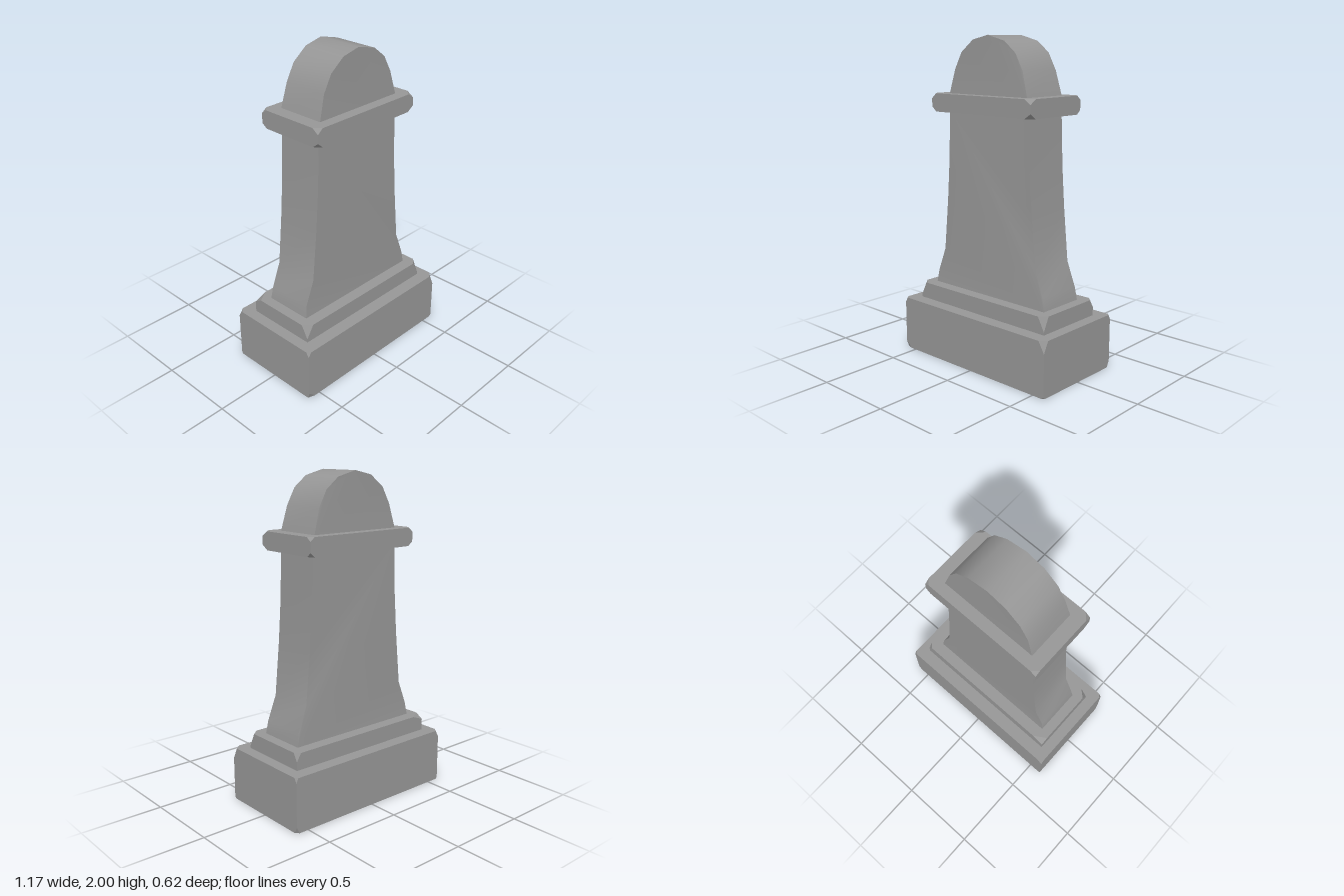
import * as THREE from 'three';
import { toCreasedNormals } from 'three/addons/utils/BufferGeometryUtils.js';
import { ConvexGeometry } from 'three/addons/geometries/ConvexGeometry.js';

// Corner order for cuts: front right, front left, back left, back right (+x is right here)
const SIGNS = [[1, 1], [-1, 1], [-1, -1], [1, -1]];

// Stone block with unevenly chipped corners; each cut is [x, y, z]
function chippedBlock(hx, hz, y0, y1, topCuts, bottomCuts) {
  const points = [];
  SIGNS.forEach(([sx, sz], i) => {
    [[y1, -1, topCuts[i]], [y0, 1, bottomCuts[i]]].forEach(([y, sy, [cx, cy, cz]]) => {
      points.push(
        new THREE.Vector3(sx * (hx - cx), y, sz * hz),
        new THREE.Vector3(sx * hx, y + sy * cy, sz * hz),
        new THREE.Vector3(sx * hx, y, sz * (hz - cz)),
      );
    });
  });
  return new ConvexGeometry(points);
}

// Slab cut from an outline, with its half depth given by height
function slab(outline, halfDepth) {
  const shape = new THREE.Shape(outline.map(([x, y]) => new THREE.Vector2(x, y)));
  const geometry = new THREE.ExtrudeGeometry(shape, { depth: 1, bevelEnabled: false });
  const p = geometry.attributes.position;
  for (let i = 0; i < p.count; i++) {
    p.setZ(i, (p.getZ(i) > 0.5 ? 1 : -1) * halfDepth(p.getY(i)));
  }
  return toCreasedNormals(geometry, 0.8);
}

export function createModel() {
  const group = new THREE.Group();
  const stone = new THREE.MeshStandardMaterial({ color: 0x969696 });
  stone.name = 'grey stone';
  const add = (name, geometry) => {
    const mesh = new THREE.Mesh(geometry, stone);
    mesh.name = name;
    group.add(mesh);
  };

  // Heavy footing
  add('base', chippedBlock(0.583, 0.312, 0, 0.338,
    [[0.04, 0.07, 0.035], [0.02, 0.03, 0.02], [0.03, 0.04, 0.03], [0.015, 0.03, 0.015]],
    [[0.015, 0.01, 0.01], [0.045, 0.04, 0.015], [0.01, 0.01, 0.01], [0.02, 0.04, 0.02]]));

  // Step above the footing
  const small = [0.005, 0.01, 0.005];
  add('plinth', chippedBlock(0.513, 0.23, 0.33, 0.44,
    [[0.045, 0.085, 0.04], [0.05, 0.08, 0.045], [0.08, 0.03, 0.05], [0.03, 0.05, 0.03]],
    [small, small, small, small]));

  // Flared shaft
  const side = [[0.45, 0.43], [0.436, 0.52], [0.377, 0.67], [0.345, 1.0], [0.328, 1.24], [0.316, 1.56]];
  const mirrored = side.map(([x, y]) => [-x, y]).reverse();
  add('shaft', slab([...side, ...mirrored], (y) => (y < 0.5 ? 0.156 : 0.148)));

  // Collar
  const collarCuts = [[0.045, 0.03, 0.045], [0.035, 0.03, 0.04], [0.035, 0.025, 0.035], [0.03, 0.025, 0.03]];
  add('collar', chippedBlock(0.395, 0.222, 1.545, 1.655, collarCuts, collarCuts));

  // Rounded top
  add('roundedTop', slab([
    [0.313, 1.645], [0.27, 1.8], [0.215, 1.9], [0.13, 1.967], [0, 2],
    [-0.12, 1.973], [-0.215, 1.9], [-0.27, 1.8], [-0.313, 1.645],
  ], (y) => (y < 1.7 ? 0.154 : 0.145)));

  return group;
}
